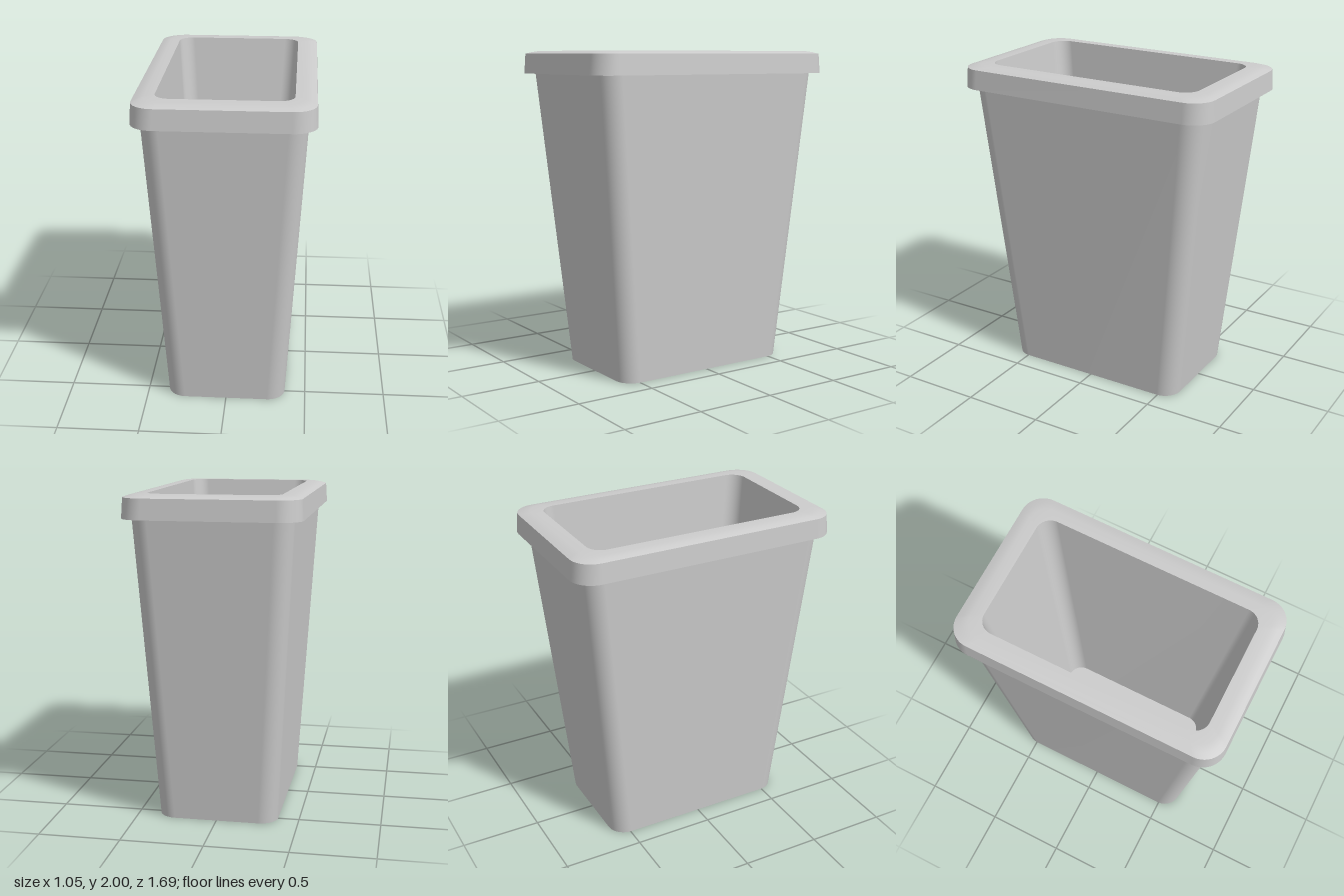
import * as THREE from 'three';

const material = new THREE.MeshStandardMaterial({ color: 0xcccccc });
const ARC = 10; // segments per rounded corner

// Rounded rectangle outline: half width, half depth, corner radius, height
function ring([hw, hd, r, y]) {
  const points = [];
  for (let c = 0; c < 4; c++) {
    const sx = c === 0 || c === 3 ? 1 : -1;
    const sz = c < 2 ? 1 : -1;
    for (let i = 0; i <= ARC; i++) {
      const a = (c + i / ARC) * Math.PI / 2;
      points.push([sx * (hw - r) + r * Math.cos(a), y, sz * (hd - r) + r * Math.sin(a)]);
    }
  }
  return points;
}

// Skin through successive outlines, smooth within the strip and creased at its ends
function loft(name, sections) {
  const rings = sections.map(ring);
  const n = rings[0].length;
  const index = [];
  for (let k = 0; k < rings.length - 1; k++) {
    for (let i = 0; i < n; i++) {
      const a = k * n + i, b = k * n + (i + 1) % n;
      index.push(a, a + n, b, b, a + n, b + n);
    }
  }
  const geometry = new THREE.BufferGeometry();
  geometry.setAttribute('position', new THREE.Float32BufferAttribute(rings.flat(2), 3));
  geometry.setIndex(index);
  geometry.computeVertexNormals();
  const mesh = new THREE.Mesh(geometry, material);
  mesh.name = name;
  return mesh;
}

export function createModel() {
  const group = new THREE.Group();
  group.name = 'wasteBin';

  // Outlines at each hard edge
  const base = [0.37, 0.605, 0.11, 0];
  const neck = [0.475, 0.783, 0.11, 1.86];
  const rimLow = [0.527, 0.847, 0.14, 1.86];
  const rimHigh = [0.519, 0.839, 0.135, 1.982];
  const mouth = [0.395, 0.702, 0.09, 2];
  const floor = [0.285, 0.515, 0.09, 0.08];

  group.add(
    loft('underside', [[0, 0, 0, 0], base]),
    loft('outerWall', [base, neck]),
    loft('rimUnderside', [neck, rimLow]),
    loft('rimSide', [rimLow, rimHigh]),
    // Gently crowned rim top
    loft('rimTop', [rimHigh, [0.49, 0.807, 0.125, 1.992], [0.455, 0.769, 0.11, 1.999], mouth]),
    loft('innerWall', [mouth, floor]),
    loft('innerFloor', [floor, [0, 0, 0, 0.08]])
  );
  return group;
}
